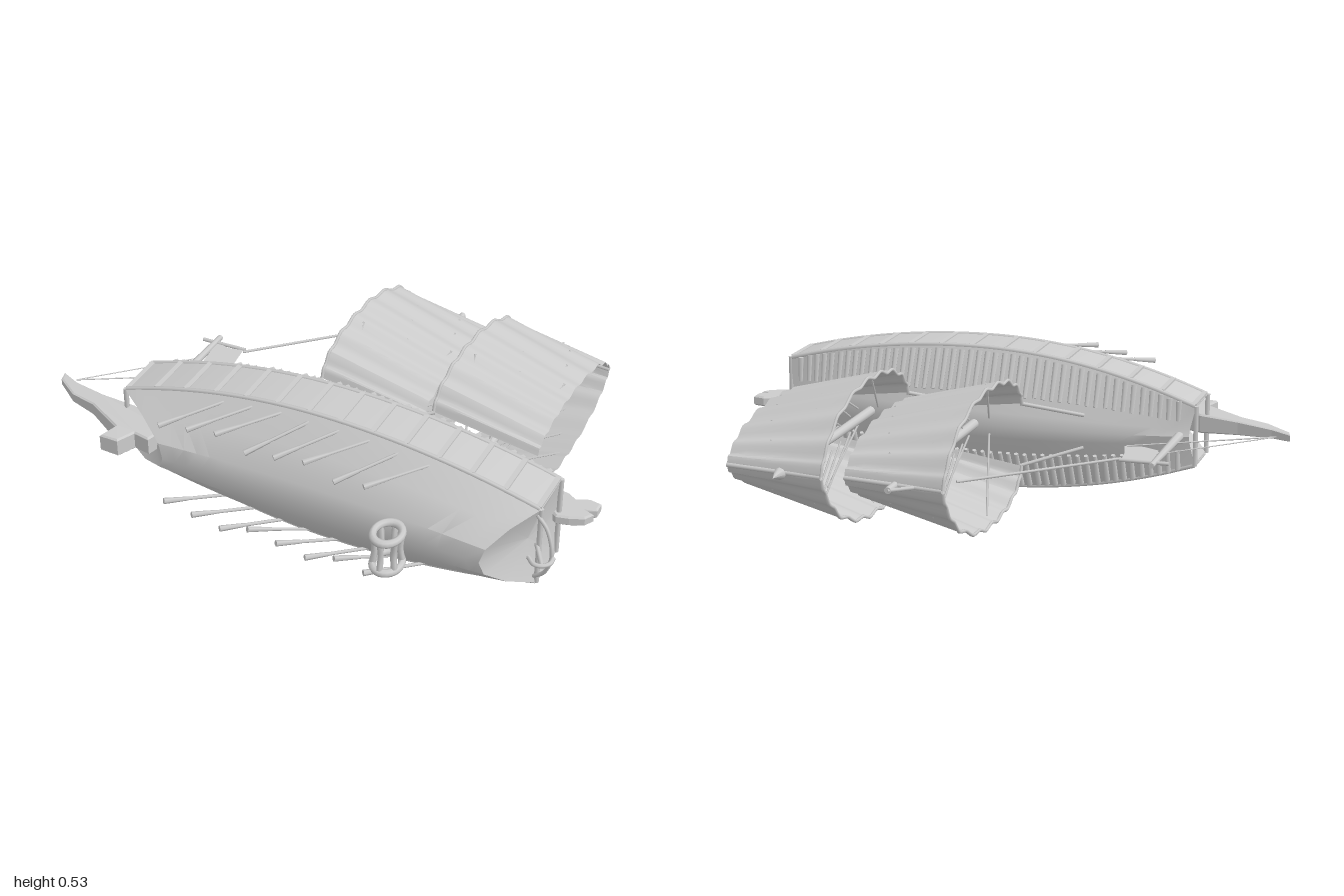
import * as THREE from 'three';
import { toCreasedNormals } from 'three/addons/utils/BufferGeometryUtils.js';

const mat = new THREE.MeshStandardMaterial({ color: 0xcccccc });
const matDouble = new THREE.MeshStandardMaterial({ color: 0xcccccc, side: THREE.DoubleSide });
const V = (x, y, z = 0) => new THREE.Vector3(x, y, z);
const lerp = THREE.MathUtils.lerp;

// Plan half width and roof height along the ship (x forward to aft, y up, z across)
const halfWidth = x => 0.26 - (x < 0.12 ? 0.15 * ((0.12 - x) / 0.8) ** 2 : 0.105 * ((x - 0.12) / 0.76) ** 2);
const crown = x => -0.11 - 0.1 * ((x - 0.1) / 0.77) ** 2;

// Skin a grid of points; closed rings get end caps
function loft(rows, closed) {
  const n = rows[0].length, pos = [], idx = [];
  rows.forEach(r => r.forEach(p => pos.push(p.x, p.y, p.z)));
  for (let i = 0; i < rows.length - 1; i++) {
    for (let j = 0; j < (closed ? n : n - 1); j++) {
      const a = i * n + j, b = i * n + (j + 1) % n;
      idx.push(a, b + n, b, a, a + n, b + n);
    }
  }
  if (closed) {
    [0, rows.length - 1].forEach(i => {
      const c = rows[i].reduce((s, p) => s.add(p), V(0, 0)).divideScalar(n);
      const k = pos.length / 3;
      pos.push(c.x, c.y, c.z);
      for (let j = 0; j < n; j++) {
        const a = i * n + j, b = i * n + (j + 1) % n;
        idx.push(k, ...(i ? [b, a] : [a, b]));
      }
    });
  }
  const g = new THREE.BufferGeometry();
  g.setAttribute('position', new THREE.Float32BufferAttribute(pos, 3));
  g.setIndex(idx);
  return toCreasedNormals(g, 0.5);
}

export function createModel() {
  const ship = new THREE.Group();
  ship.name = 'ship';

  const add = (name, geo, m = mat) => {
    const mesh = new THREE.Mesh(geo, m);
    mesh.name = name;
    ship.add(mesh);
    return mesh;
  };
  const rod = (name, a, b, r0, r1 = r0, sides = 6) => {
    const d = b.clone().sub(a);
    const mesh = add(name, new THREE.CylinderGeometry(r1, r0, d.length(), sides));
    mesh.position.copy(a).addScaledVector(d, 0.5);
    mesh.quaternion.setFromUnitVectors(V(0, 1), d.normalize());
  };
  const tube = (name, pts, r, seg = 24) =>
    add(name, new THREE.TubeGeometry(new THREE.CatmullRomCurve3(pts), seg, r, 6));
  // Flat plate cut from a side outline
  const plate = (name, pts, depth) => {
    const shape = new THREE.Shape(pts.map(p => new THREE.Vector2(...p)));
    const geo = new THREE.ExtrudeGeometry(shape, {
      depth, bevelEnabled: true, bevelSize: 0.006, bevelThickness: 0.006, bevelSegments: 1,
    });
    geo.translate(0, 0, -depth / 2);
    return add(name, geo);
  };

  // Hull and roof: [width factor, height, bow x, stern x] from keel to ridge
  const levels = [
    [0, -0.56, -0.44, 0.74], [0.28, -0.548, -0.46, 0.755], [0.64, -0.485, -0.56, 0.81],
    [1, -0.4, -0.68, 0.88], [1, -0.22, -0.68, 0.88], [0.18, null, -0.66, 0.87], [0, null, -0.66, 0.87],
  ];
  const rows = [];
  for (let i = 0; i <= 24; i++) {
    const half = levels.map(([f, y, xa, xb]) => {
      const x = lerp(xa, xb, i / 24);
      return V(x, y ?? crown(x) - (f ? 0.008 : 0), f * halfWidth(x));
    });
    const other = half.slice(1, -1).reverse().map(p => V(p.x, p.y, -p.z));
    rows.push([...half, ...other]);
  }
  add('hull', loft(rows, true));

  for (const s of [-1, 1]) {
    // Rails and posts framing the side panels
    for (const y of [-0.225, -0.395]) {
      const pts = [];
      for (let i = 0; i <= 12; i++) {
        const x = lerp(-0.675, 0.875, i / 12);
        pts.push(V(x, y, s * (halfWidth(x) - 0.003)));
      }
      tube('sideRail', pts, 0.009, 32);
    }
    for (let i = 0; i <= 13; i++) {
      const x = lerp(-0.67, 0.87, i / 13);
      const post = add('sidePost', new THREE.BoxGeometry(0.018, 0.17, 0.014));
      post.position.set(x, -0.31, s * (halfWidth(x) - 0.002));
    }
    // Ribs over the sloping roof, uneven in height
    for (let i = 0; i < 46; i++) {
      const x = lerp(-0.62, 0.83, i / 45), w = halfWidth(x), top = crown(x) - 0.008;
      const lift = 0.004 + 0.003 * (i * 7 % 4);
      const at = f => V(x, lerp(-0.22, top, (1 - f) / 0.82) + lift, s * w * f);
      rod('roofRib', at(0.95), at(0.42), 0.011, 0.008, 5);
    }
    // Oars sweeping forward and down
    for (let i = 0; i < 8; i++) {
      const x = -0.26 + i * 0.11, end = V(x - 0.17, -0.585, s * (0.165 + 0.02 * (i % 3)));
      const start = V(x, -0.4, s * (halfWidth(x) - 0.02));
      rod('oar', start, end, 0.006);
      rod('oarBlade', start.clone().lerp(end, 0.65), end, 0.007, 0.011);
    }
  }
  // End frames across bow and stern
  for (const [x, w] of [[-0.68, 0.11], [0.88, 0.155]]) {
    for (const y of [-0.225, -0.395]) rod('endRail', V(x, y, -w), V(x, y, w), 0.009);
  }

  // Bow ram with a fin below, thinner toward the tip
  const ram = plate('bowRam', [
    [-0.995, -0.312], [-0.93, -0.345], [-0.8, -0.372], [-0.66, -0.385], [-0.5, -0.45], [-0.52, -0.52], [-0.58, -0.51],
    [-0.61, -0.575], [-0.67, -0.575], [-0.65, -0.51], [-0.72, -0.47], [-0.8, -0.425], [-0.9, -0.4], [-0.985, -0.34],
  ], 0.06);
  const p = ram.geometry.attributes.position;
  for (let i = 0; i < p.count; i++) p.setZ(i, p.getZ(i) * lerp(0.35, 1, Math.min(1, (p.getX(i) + 1) / 0.35)));
  ram.geometry.computeVertexNormals();

  // Forked stern ornament
  plate('sternOrnament', [
    [0.86, -0.23], [0.85, -0.17], [0.8, -0.135], [0.83, -0.12], [0.87, -0.125], [0.905, -0.145], [0.95, -0.125],
    [0.985, -0.13], [0.985, -0.16], [0.95, -0.18], [0.98, -0.19], [0.965, -0.215], [0.92, -0.235], [0.88, -0.245],
  ], 0.026);

  // Stern hoop and anchor
  tube('sternHoop', [V(0.87, -0.4, -0.13), V(0.91, -0.41, -0.09), V(0.935, -0.42, 0),
    V(0.91, -0.41, 0.09), V(0.87, -0.4, 0.13)], 0.007);
  rod('anchorShank', V(0.87, -0.39), V(0.925, -0.48), 0.008);
  tube('anchorFlukes', [V(0.87, -0.46), V(0.9, -0.485), V(0.925, -0.482), V(0.945, -0.46), V(0.945, -0.43)], 0.008);

  // Open drum under the keel: two rings joined by waisted bars
  for (const s of [-1, 1]) {
    const ring = add('drumRing', new THREE.TorusGeometry(0.052, 0.014, 8, 24));
    ring.scale.set(0.9, 1.08, 1);
    ring.position.set(0.447, -0.625, s * 0.062);
  }
  for (let i = 0; i < 6; i++) {
    const a = i * Math.PI / 3 + 0.5;
    const at = (r, z) => V(0.447 + 0.9 * r * Math.cos(a), -0.625 + 1.08 * r * Math.sin(a), z);
    tube('drumBar', [at(0.052, -0.062), at(0.044, 0), at(0.052, 0.062)], 0.011, 8);
  }

  // Two billowing ribbed sails, wide ahead and narrower aft
  const profile = new THREE.SplineCurve([
    [0, 0.115], [0.06, 0.175], [0.2, 0.222], [0.38, 0.238], [0.58, 0.228], [0.8, 0.17], [0.94, 0.08], [1, 0.004],
  ].map(q => new THREE.Vector2(...q)));
  const sailPoint = (dx, u, k, s) => {
    const q = profile.getPoint(k), x = lerp(-0.09 + 0.04 * q.x, 0.295 + 0.01 * q.x, u);
    const ripple = 0.007 * (1 - Math.cos(18 * Math.PI * k));
    return V(x + dx, lerp(-0.04, 0.645 - 0.03 * u, q.x), s * (q.y * lerp(1, 0.54, u) + ripple));
  };
  for (const dx of [0, 0.43]) {
    const sailRows = [];
    for (let i = 0; i <= 6; i++) {
      const row = [];
      for (let j = 0; j <= 108; j++) {
        const k = 1 - Math.abs(j / 54 - 1);
        row.push(sailPoint(dx, i / 6, k, j < 54 ? 1 : -1));
      }
      sailRows.push(row);
    }
    add('sail', loft(sailRows, false), matDouble);
    for (const s of [-1, 1]) {
      const edge = [];
      for (let j = 0; j <= 36; j++) edge.push(sailPoint(dx - 0.005, 0, j / 36, s));
      tube('sailEdgeRope', edge, 0.006, 72);
      // Long stays fanning out inside the sail, and a tether to the roof
      for (let j = 0; j < 9; j++) {
        const k = 0.38 + j * 0.055, u = 0.1 + 0.1 * (j * 4 % 9);
        const end = sailPoint(dx, u, k, s);
        rod('innerStay', V(lerp(dx + 0.11, end.x, 0.4), end.y - 0.28, 0.03 * s), end, 0.004, 0.004, 4);
      }
      rod('tether', V(dx - 0.29, -0.15, 0.06 * s), V(dx - 0.09, -0.04, 0.115 * s), 0.007);
    }
    rod('yard', V(dx - 0.05, 0.64), V(dx + 0.305, 0.615), 0.008);
  }

  // Masts
  rod('foreMast', V(0.11, -0.14), V(0.12, 0.69), 0.018, 0.012, 10);
  rod('foreMastBrace', V(0.05, 0.635), V(0.12, 0.69), 0.007);
  rod('mainMast', V(0.525, -0.14), V(0.525, 0.65), 0.018, 0.013, 10);
  add('mainMastFinial', new THREE.LatheGeometry([[0, -0.06], [0.012, -0.04], [0.008, -0.02], [0.022, 0], [0, 0.055]]
    .map(q => new THREE.Vector2(...q)), 8)).position.set(0.525, 0.645, 0);

  // Bow flagstaff, flag and rigging
  rod('flagstaff', V(-0.625, -0.24), V(-0.62, 0.155), 0.018, 0.01, 8);
  rod('flagYard', V(-0.67, 0.115), V(-0.5, 0.125), 0.007);
  const flag = new THREE.Shape([[-0.615, 0.12], [-0.56, 0.108], [-0.505, 0.12], [-0.495, 0.04], [-0.475, -0.03],
    [-0.54, -0.045], [-0.6, -0.02]].map(q => new THREE.Vector2(...q)));
  add('flag', new THREE.ShapeGeometry(flag), matDouble);
  rod('foreStay', V(-0.5, 0.11), V(-0.06, 0.53), 0.005);
  rod('bowStay', V(-0.95, -0.31), V(-0.62, 0.01), 0.002);
  rod('bowStay', V(-0.95, -0.31), V(-0.48, -0.035), 0.0025);

  // Lay the ship over so its masts point to the back
  ship.rotation.x = -Math.PI / 2;
  ship.position.y = 0.262;
  const model = new THREE.Group();
  model.name = 'model';
  model.add(ship);
  return model;
}
